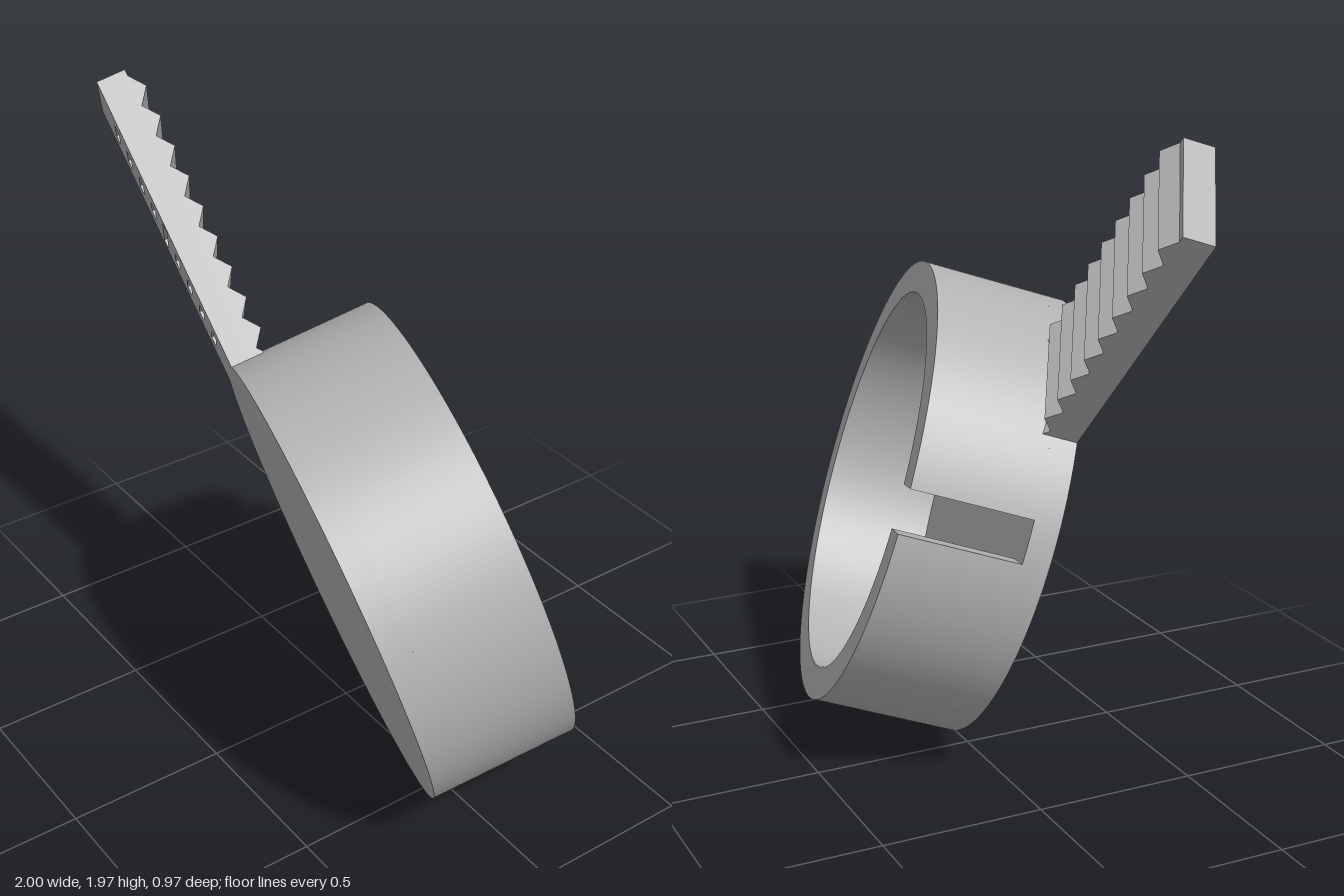
import * as THREE from 'three';
import { toCreasedNormals } from 'three/addons/utils/BufferGeometryUtils.js';

export function createModel() {
  const grey = new THREE.MeshStandardMaterial({ color: 0xb3b3b3 });
  grey.name = 'grey';
  const model = new THREE.Group();
  model.name = 'handledCup';

  // Extrude a shape from z0 to z1
  const slab = (shape, z0, z1) => {
    const g = new THREE.ExtrudeGeometry(shape, { depth: z1 - z0, bevelEnabled: false, curveSegments: 96 });
    return g.translate(0, 0, z0);
  };
  const add = (name, geometry) => {
    const m = new THREE.Mesh(toCreasedNormals(geometry, 0.5), grey);
    m.name = name;
    model.add(m);
    return m;
  };

  const R = 0.7, r = 0.6, depth = 0.448, floor = 0.08;

  // Closed front of the cup
  const disc = new THREE.Shape();
  disc.absarc(0, 0, R, 0, Math.PI * 2);
  add('cupFloor', slab(disc, -floor, 0));

  // Ring wall with a parallel-sided slot
  const half = 0.065, a = Math.asin(half / R), b = Math.asin(half / r);
  const ring = new THREE.Shape();
  ring.absarc(0, 0, R, a, Math.PI * 2 - a, false);
  ring.absarc(0, 0, r, Math.PI * 2 - b, b, true);
  ring.closePath();
  add('cupWall', slab(ring, -depth, -floor)).rotation.z = THREE.MathUtils.degToRad(129.7);

  // Handle front layer, pierced by a row of pockets
  const hw = 0.17, root = 0.578, tip = 1.6, pocket = 0.05;
  const rect = (Type, w, y0, y1) => new Type([
    new THREE.Vector2(-w, y0), new THREE.Vector2(w, y0),
    new THREE.Vector2(w, y1), new THREE.Vector2(-w, y1),
  ]);
  const plate = rect(THREE.Shape, hw, root, tip);
  for (let i = 0; i < 9; i++) {
    const y = tip - 0.127 - i * 0.0845;
    plate.holes.push(rect(THREE.Path, i === 4 ? 0.125 : 0.064, y - 0.015, y + 0.015));
  }
  add('handleFront', slab(plate, -pocket, 0));

  // Handle back layer with ridged grip: side profile swept across the width
  const valley = -0.09, crest = -0.127, teeth = 9, start = 0.7;
  const pitch = (tip - 0.02 - start) / teeth;
  const side = new THREE.Shape();
  side.moveTo(tip, -pocket);
  side.lineTo(root, -pocket);
  side.lineTo(root, crest);
  side.lineTo(start - pitch / 2, crest);
  for (let i = 0; i < teeth; i++) {
    side.lineTo(start + i * pitch, valley);
    side.lineTo(start + (i + 0.5) * pitch, crest);
  }
  side.lineTo(tip - 0.02, valley);
  side.lineTo(tip, valley);
  side.closePath();
  const axes = new THREE.Matrix4().makeBasis(
    new THREE.Vector3(0, 1, 0), new THREE.Vector3(0, 0, 1), new THREE.Vector3(1, 0, 0));
  add('handleGrip', slab(side, -hw, hw).applyMatrix4(axes));

  // Tilt the whole piece into its resting pose
  const front = new THREE.Vector3(-0.268, -0.301, 0.915).normalize();
  const up = new THREE.Vector3(-0.678, 0.733, 0.043);
  up.addScaledVector(front, -up.dot(front)).normalize();
  const right = new THREE.Vector3().crossVectors(up, front);
  model.quaternion.setFromRotationMatrix(new THREE.Matrix4().makeBasis(right, up, front));
  model.position.set(0.2, 0.668, 0.207);

  const group = new THREE.Group();
  group.add(model);
  return group;
}
